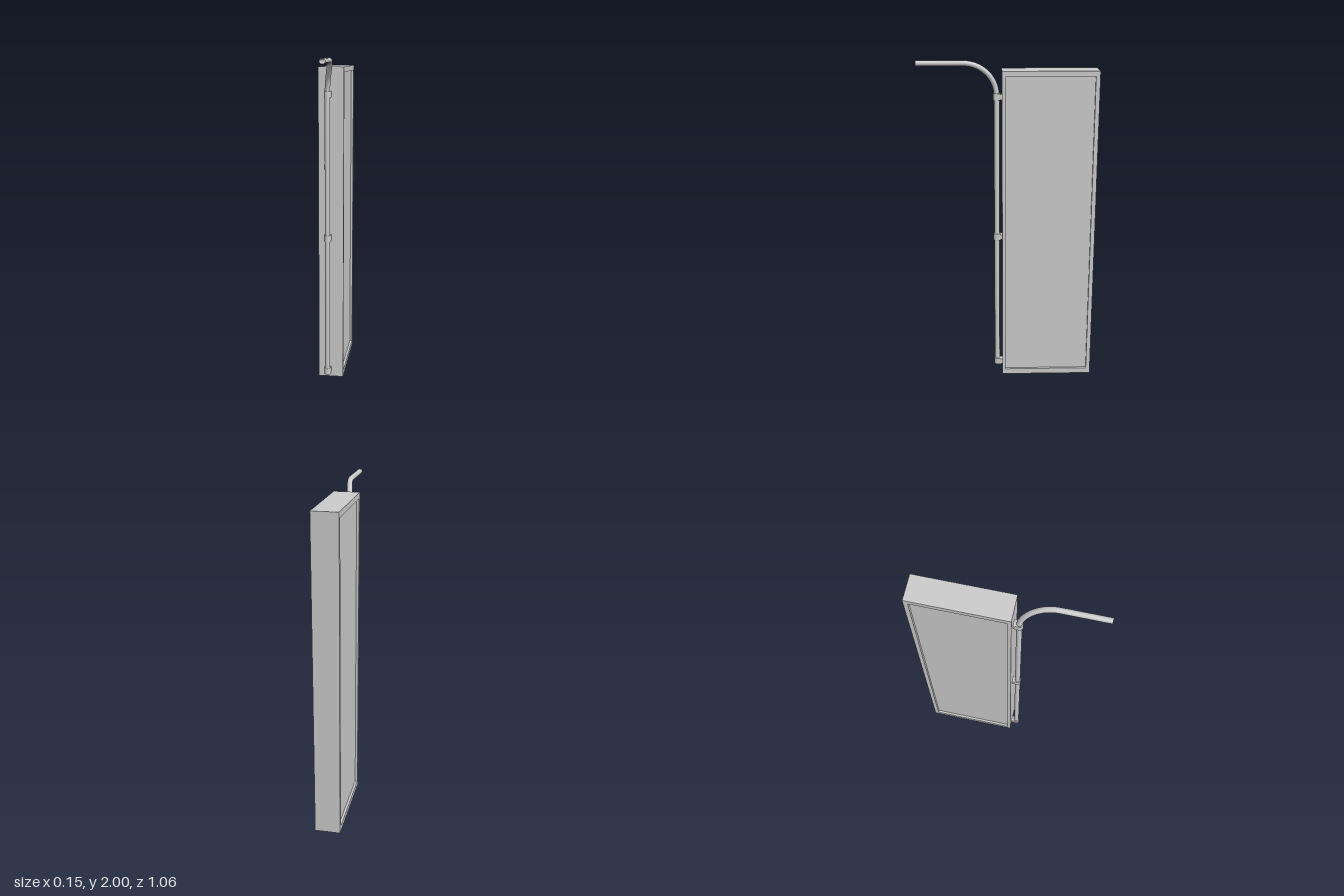
import * as THREE from 'three';

const grey = new THREE.MeshStandardMaterial({ color: 0xcccccc });
const greyOpen = new THREE.MeshStandardMaterial({ color: 0xcccccc, side: THREE.DoubleSide });

function add(group, name, geometry, material = grey) {
  const mesh = new THREE.Mesh(geometry, material);
  mesh.name = name;
  group.add(mesh);
  return mesh;
}

function rectangle(PathType, z0, z1, y0, y1) {
  return new PathType([[z0, y0], [z1, y0], [z1, y1], [z0, y1]].map(([z, y]) => new THREE.Vector2(z, y)));
}

export function createModel() {
  const model = new THREE.Group();
  model.name = 'signWithPipeArm';

  // Sign case: a thick frame, shape drawn in (-z, y) and extruded along x
  const width = 0.154;
  const outline = rectangle(THREE.Shape, -0.035, 0.53, 0, 1.945);
  outline.holes.push(rectangle(THREE.Path, -0.015, 0.505, 0.035, 1.913));
  const frame = new THREE.ExtrudeGeometry(outline, { depth: width, bevelEnabled: false });
  frame.rotateY(Math.PI / 2).translate(-width / 2, 0, 0);
  add(model, 'signFrame', frame);

  // Face panels, recessed on both sides
  add(model, 'signPanel', new THREE.BoxGeometry(width - 0.03, 1.878, 0.52)).position.set(0, 0.974, -0.245);

  // Pipe: straight riser, swept elbow that drifts sideways, straight arm
  const points = [];
  for (let i = 0; i <= 12; i++) {
    points.push(new THREE.Vector3(-0.018, 0.03 + (1.76 * i) / 12, 0.068 - (0.003 * i) / 12));
  }
  const bend = 0.194;
  for (let i = 1; i <= 16; i++) {
    const t = i / 16, a = (t * Math.PI) / 2;
    points.push(new THREE.Vector3(
      THREE.MathUtils.lerp(-0.018, 0.018, t * t * (3 - 2 * t)),
      1.79 + bend * Math.sin(a),
      0.065 + bend * (1 - Math.cos(a))
    ));
  }
  for (const z of [0.35, 0.44, 0.53]) points.push(new THREE.Vector3(0.018, 1.984, z));
  const path = new THREE.CatmullRomCurve3(points, false, 'centripetal');
  add(model, 'pipe', new THREE.TubeGeometry(path, 160, 0.016, 20, false), greyOpen);

  // Pipe clamps: rounded collar with a narrower foot against the case
  const collar = new THREE.Shape();
  collar.moveTo(-0.02, -0.046);
  collar.lineTo(0.02, -0.046);
  collar.lineTo(0.02, -0.067);
  collar.absarc(0, -0.067, 0.02, 0, -Math.PI, true);
  collar.closePath();
  for (const y of [0.05, 0.915, 1.785]) {
    const clamp = new THREE.Group();
    clamp.name = 'pipeClamp';
    clamp.position.set(-0.018, y, 0);
    // A clockwise arc in (x, -z) bulges to the front once laid flat
    const ring = new THREE.ExtrudeGeometry(collar, { depth: 0.04, bevelEnabled: false, curveSegments: 16 });
    ring.rotateX(-Math.PI / 2).translate(0, -0.02, 0);
    add(clamp, 'clampCollar', ring);
    add(clamp, 'clampFoot', new THREE.BoxGeometry(0.04, 0.032, 0.016)).position.z = 0.04;
    model.add(clamp);
  }
  return model;
}
